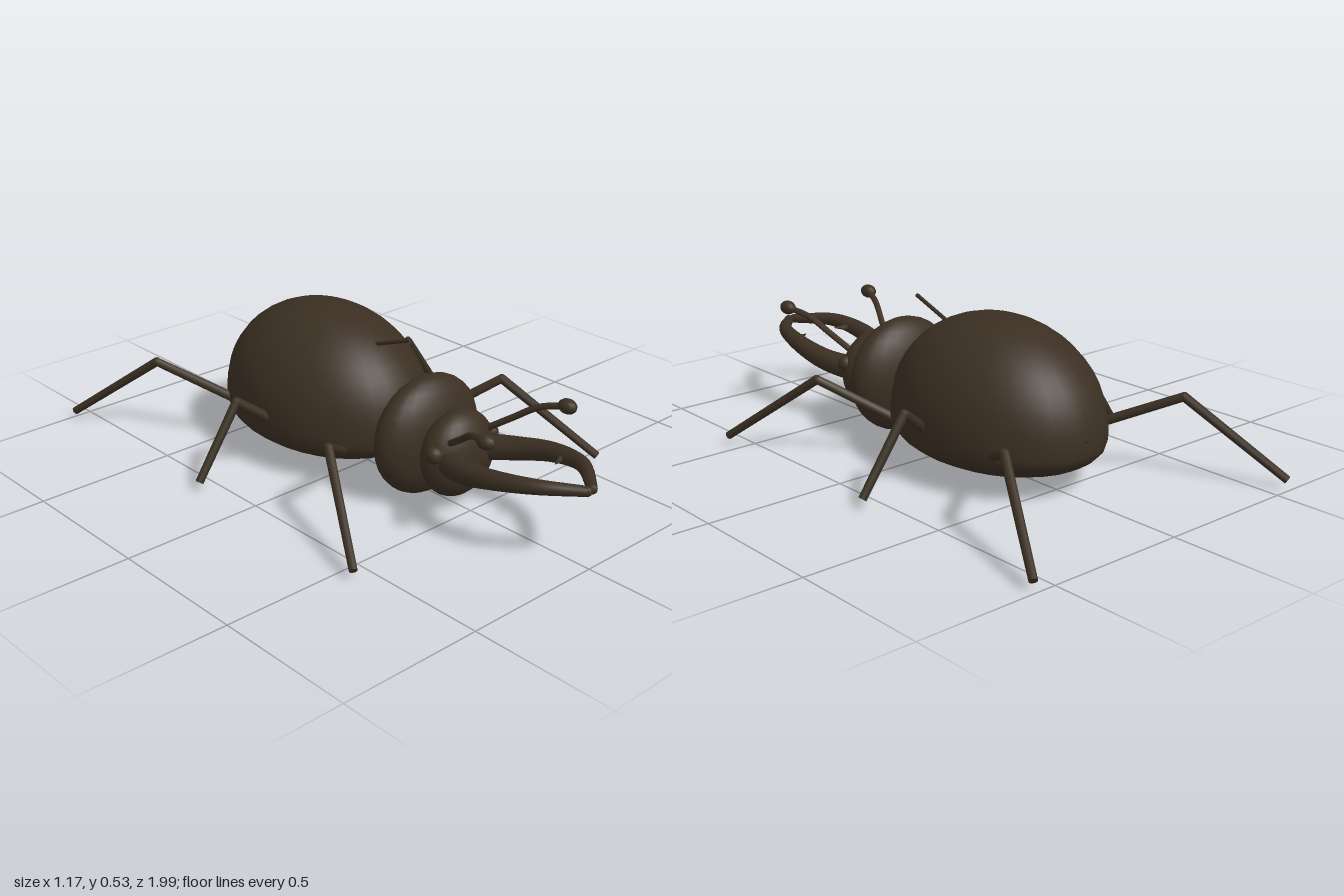
import * as THREE from 'three';

const V = (x, y, z) => new THREE.Vector3(x, y, z);

export function createModel() {
  const model = new THREE.Group();
  const shell = new THREE.MeshStandardMaterial({ color: 0x3b2f22 });
  shell.name = 'dark brown shell';

  function add(name, geometry, parent = model) {
    const mesh = new THREE.Mesh(geometry, shell);
    mesh.name = name;
    parent.add(mesh);
    return mesh;
  }

  function ellipsoid(name, pos, radii, parent, w = 24, h = 16) {
    const mesh = add(name, new THREE.SphereGeometry(1, w, h), parent);
    mesh.position.copy(pos);
    mesh.scale.copy(radii);
    return mesh;
  }

  // straight round rod between two points
  function rod(name, a, b, r0, r1, parent) {
    const dir = b.clone().sub(a);
    const mesh = add(name, new THREE.CylinderGeometry(r1, r0, dir.length(), 8), parent);
    mesh.position.copy(a).add(b).multiplyScalar(0.5);
    mesh.quaternion.setFromUnitVectors(V(0, 1, 0), dir.normalize());
    return mesh;
  }

  // tube along a curve whose radius follows a rule
  function taperedTube(points, segments, sides, radiusAt) {
    const curve = new THREE.CatmullRomCurve3(points);
    const geo = new THREE.TubeGeometry(curve, segments, 1, sides);
    const pos = geo.attributes.position;
    const v = V(0, 0, 0);
    for (let i = 0; i < pos.count; i++) {
      const t = Math.floor(i / (sides + 1)) / segments;
      const c = curve.getPointAt(t);
      v.fromBufferAttribute(pos, i).sub(c).multiplyScalar(radiusAt(t)).add(c);
      pos.setXYZ(i, v.x, v.y, v.z);
    }
    geo.computeVertexNormals();
    return geo;
  }

  // abdomen: shallow belly, short upright rim, tall dome
  const profile = [];
  for (let i = 0; i <= 8; i++) {
    const a = (i / 8) * Math.PI / 2;
    profile.push(new THREE.Vector2(Math.sin(a), 0.155 - 0.127 * Math.cos(a)));
  }
  for (let i = 0; i <= 12; i++) {
    const a = (i / 12) * Math.PI / 2;
    profile.push(new THREE.Vector2(Math.cos(a), 0.19 + 0.345 * Math.sin(a)));
  }
  profile[0].x = profile[profile.length - 1].x = 0;
  const abdomen = add('abdomen', new THREE.LatheGeometry(profile, 32));
  abdomen.scale.set(0.308, 1, 0.42);
  abdomen.position.z = -0.212;

  // seam spine through the wing cases, free at the front
  rod('wingSeam', V(0, 0.205, -0.633), V(0, 0.518, 0.205), 0.007, 0.007);

  ellipsoid('thorax', V(0, 0.213, 0.29), V(0.22, 0.208, 0.102));
  ellipsoid('head', V(0, 0.195, 0.434), V(0.148, 0.15, 0.09));

  const legs = {
    frontLeg: [V(0.17, 0.12, 0.07), V(0.4, 0.28, 0.255), V(0.57, 0.035, 0.56)],
    middleLeg: [V(0.2, 0.13, -0.15), V(0.4, 0.28, -0.215), V(0.57, 0.035, -0.213)],
    hindLeg: [V(0.2, 0.14, -0.4), V(0.4, 0.28, -0.68), V(0.57, 0.035, -0.985)],
  };

  for (const [side, s] of [['left', 1], ['right', -1]]) {
    const P = (x, y, z) => V(s * x, y, z);
    const half = new THREE.Group();
    half.name = side + 'Side';
    model.add(half);

    // legs with thigh, knee and shin
    for (const [name, [hip, knee, foot]] of Object.entries(legs)) {
      const leg = new THREE.Group();
      leg.name = side + name[0].toUpperCase() + name.slice(1);
      half.add(leg);
      const [a, b, c] = [hip, knee, foot].map((p) => P(p.x, p.y, p.z));
      rod('thigh', a, b, 0.018, 0.016, leg);
      ellipsoid('knee', b, V(0.016, 0.016, 0.016), leg, 8, 6);
      rod('shin', b, c, 0.016, 0.014, leg);
    }

    ellipsoid('eye', P(0.128, 0.235, 0.455), V(0.03, 0.03, 0.03), half, 14, 10);

    // curved jaw with a small inner tooth
    add('jaw', taperedTube(
      [P(0.075, 0.2, 0.46), P(0.125, 0.22, 0.58), P(0.141, 0.252, 0.72),
        P(0.11, 0.273, 0.86), P(0.012, 0.27, 0.982)],
      24, 12, (t) => 0.046 - 0.029 * t), half);
    ellipsoid('jawTip', P(0.012, 0.27, 0.982), V(0.016, 0.017, 0.016), half, 10, 8);
    rod('jawTooth', P(0.12, 0.26, 0.77), P(0.066, 0.262, 0.79), 0.016, 0.001, half);

    // clubbed antenna
    add('antenna', taperedTube(
      [P(0.085, 0.27, 0.48), P(0.12, 0.325, 0.56), P(0.155, 0.378, 0.64), P(0.187, 0.4, 0.725)],
      16, 8, () => 0.011), half);
    ellipsoid('antennaClub', P(0.187, 0.4, 0.727), V(0.026, 0.025, 0.034), half, 14, 10);
  }

  return model;
}
